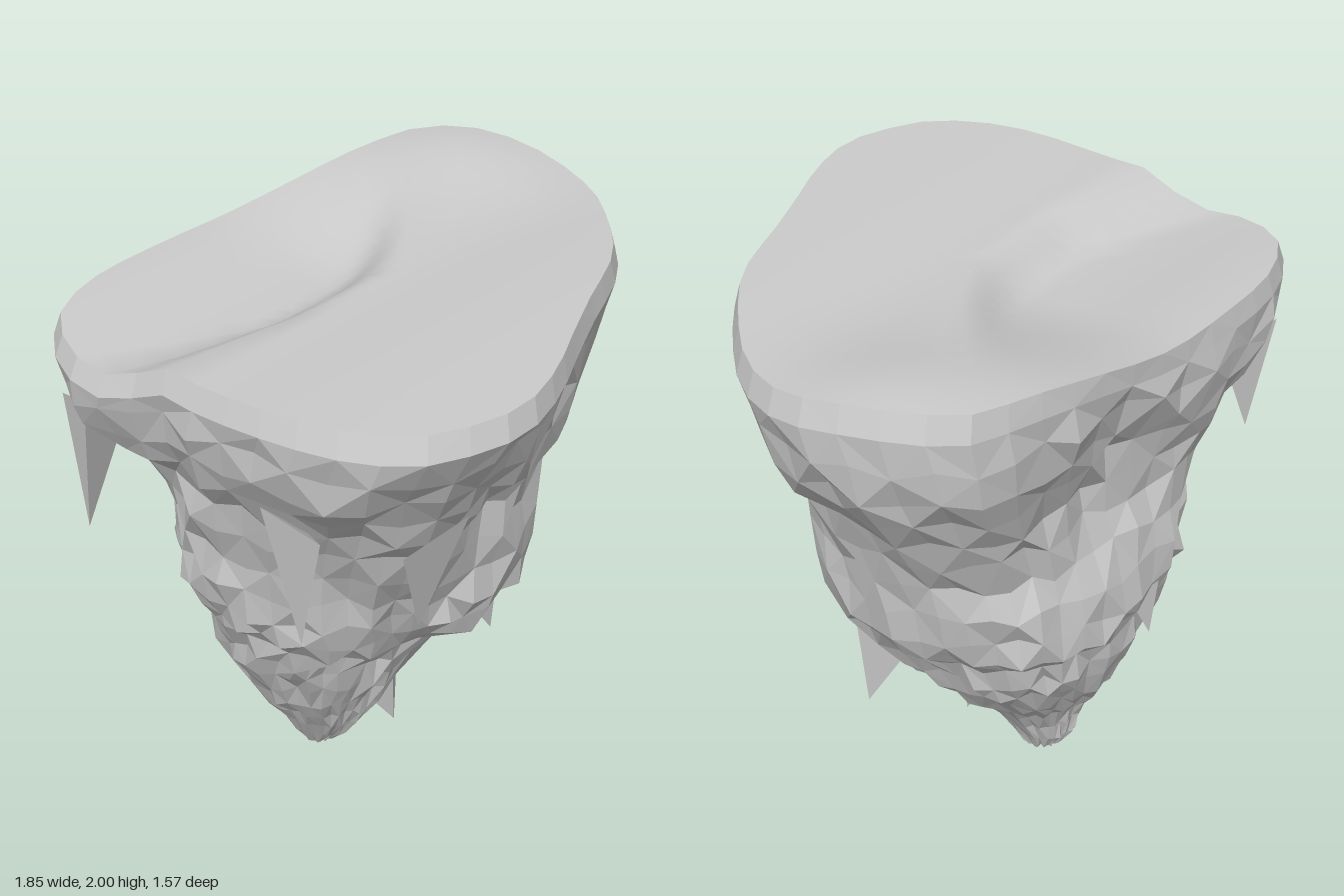
import * as THREE from 'three';
import { ConvexGeometry } from 'three/addons/geometries/ConvexGeometry.js';

const SEG = 46;
const { smoothstep, lerp, clamp } = THREE.MathUtils;

// Plan outline of the rim, [x, z]
const outline = [
  [0.93, -0.2], [0.91, -0.05], [0.84, 0.1], [0.7, 0.26], [0.5, 0.43], [0.2, 0.56], [0, 0.65],
  [-0.2, 0.74], [-0.4, 0.785], [-0.56, 0.75], [-0.71, 0.67], [-0.82, 0.5], [-0.87, 0.3], [-0.89, 0],
  [-0.89, -0.17], [-0.93, -0.42], [-0.9, -0.55], [-0.81, -0.68], [-0.6, -0.77], [-0.3, -0.79],
  [0, -0.78], [0.3, -0.73], [0.55, -0.68], [0.75, -0.62], [0.87, -0.46],
];

// Bounds of the rock at each height: [y, xMin, xMax, zMin, zMax]
const levels = [
  [1.88, -0.93, 0.93, -0.78, 0.785], [1.78, -0.92, 0.91, -0.79, 0.73], [1.67, -0.89, 0.88, -0.78, 0.68],
  [1.56, -0.83, 0.82, -0.76, 0.62], [1.45, -0.78, 0.74, -0.73, 0.56], [1.33, -0.75, 0.69, -0.71, 0.5],
  [1.2, -0.71, 0.63, -0.71, 0.44], [1.08, -0.69, 0.61, -0.72, 0.41], [0.97, -0.68, 0.59, -0.72, 0.4],
  [0.87, -0.64, 0.55, -0.7, 0.39], [0.79, -0.59, 0.47, -0.66, 0.33], [0.7, -0.56, 0.42, -0.63, 0.2],
  [0.6, -0.53, 0.37, -0.6, 0.12], [0.5, -0.48, 0.28, -0.56, 0.08], [0.4, -0.43, 0.16, -0.51, 0.02],
  [0.3, -0.37, 0.08, -0.45, -0.03], [0.2, -0.31, 0.01, -0.41, -0.08], [0.11, -0.26, -0.04, -0.39, -0.14],
  [0.04, -0.22, -0.08, -0.35, -0.2],
];

// Inward (-) and outward (+) swells on the wall: [x, y, z, radius, amount]
const swells = [
  [0.15, 1.48, -0.72, 0.28, -0.1], [-0.45, 1.25, 0.5, 0.2, 0.05], [0.0, 0.95, 0.39, 0.2, 0.02],
  [-0.3, 0.85, 0.3, 0.2, -0.06], [0.3, 1.25, 0.4, 0.18, -0.06], [0.3, 1.5, 0.5, 0.15, 0.04],
  [-0.2, 1.35, 0.45, 0.14, -0.06], [0.38, 0.65, 0.05, 0.15, 0.04], [-0.6, 1.3, -0.5, 0.2, -0.05],
];

function hash(i, j) {
  const s = Math.sin(i * 127.1 + j * 311.7) * 43758.5453;
  return (s - Math.floor(s)) * 2 - 1;
}

// Height of the grassy top, with a hollow stepping down at the back
function topY(x, z) {
  const edge = -0.03 - 0.8 * Math.max(0, x + 0.2) ** 2 - 0.2 * Math.max(0, -x - 0.4);
  const step = smoothstep(edge - z, 0, 0.18) * (1 - smoothstep(x, -0.1, 0.55));
  const recover = 1 - 0.35 * smoothstep(-z, 0.3, 0.75);
  const hump = 0.05 * Math.exp(-(((x - 0.75) / 0.3) ** 2) - ((z + 0.4) / 0.3) ** 2);
  return 1.955 - 0.02 * Math.exp(-((z / 0.25) ** 2)) + hump - 0.11 * step * recover;
}

const curve = new THREE.CatmullRomCurve3(outline.map(([x, z]) => new THREE.Vector3(x, 0, z)), true);
const rim = curve.getSpacedPoints(SEG).slice(0, SEG);

// Joins equal rings of points and closes the last ring to a point
function skin(rings, tip) {
  const pos = [], index = [];
  rings.forEach((ring) => ring.forEach((p) => pos.push(p.x, p.y, p.z)));
  pos.push(tip.x, tip.y, tip.z);
  const last = rings.length * SEG;
  for (let r = 0; r < rings.length; r++) {
    for (let i = 0; i < SEG; i++) {
      const a = r * SEG + i, b = r * SEG + ((i + 1) % SEG);
      if (r === rings.length - 1) index.push(a, b, last);
      else if ((i + r) % 2) index.push(a, b, a + SEG, b, b + SEG, a + SEG);
      else index.push(a, b, b + SEG, a, b + SEG, a + SEG);
    }
  }
  return { pos, index };
}

function toGeometry({ pos, index }, flip) {
  const g = new THREE.BufferGeometry();
  g.setAttribute('position', new THREE.Float32BufferAttribute(pos, 3));
  if (flip) for (let i = 0; i < index.length; i += 3) [index[i], index[i + 1]] = [index[i + 1], index[i]];
  g.setIndex(index);
  g.computeVertexNormals();
  return g;
}

function wallRing([y, x0, x1, z0, z1], row) {
  const round = smoothstep(1.85 - y, 0, 0.85);
  const cx = (x0 + x1) / 2, cz = (z0 + z1) / 2;
  return rim.map((p, i) => {
    const ux = p.x / 0.93, uz = p.z / 0.787, len = Math.hypot(ux, uz);
    const px = cx + lerp(ux, ux / len, round) * (x1 - x0) / 2;
    const pz = cz + lerp(uz, uz / len, round) * (z1 - z0) / 2;
    const fade = clamp((y - 1.5) / 0.4, 0, 1);
    const py = y + (topY(p.x, p.z) - 1.955) * fade;
    let push = row < 1 ? 0 : hash(i, row) * 0.022 * clamp(y + 0.3, 0.4, 1);
    for (const [sx, sy, sz, r, amount] of swells) {
      const d2 = (px - sx) ** 2 + (py - sy) ** 2 + (pz - sz) ** 2;
      push += amount * Math.exp(-d2 / (r * r));
    }
    const jitter = row < 1 ? 0 : hash(i + 57, row) * 0.025 * clamp(y * 2, 0.2, 1);
    return new THREE.Vector3(px + (ux / len) * push, py + jitter, pz + (uz / len) * push);
  });
}

function topRing(scale) {
  return rim.map((p) => {
    const x = p.x * scale, z = p.z * scale;
    return new THREE.Vector3(x, topY(x, z), z);
  });
}

// Hanging shards: three root corners and a tip
const shards = [
  [[-0.86, 1.65, -0.5], [-0.8, 1.6, -0.68], [-0.68, 1.5, -0.55], [-0.82, 1.15, -0.6]],
  [[-0.83, 1.6, 0.2], [-0.8, 1.55, 0.4], [-0.68, 1.45, 0.22], [-0.76, 1.1, 0.27]],
  [[-0.57, 1.42, 0.5], [-0.4, 1.53, 0.6], [-0.25, 1.2, 0.38], [-0.41, 1.04, 0.42]],
  [[-0.2, 1.1, -0.69], [0.02, 1.0, -0.68], [-0.12, 0.92, -0.6], [-0.1, 0.77, -0.71]],
  [[0.22, 0.6, 0.1], [0.44, 0.85, 0.08], [0.3, 0.72, -0.1], [0.38, 0.38, 0.08]],
  [[-0.06, 0.4, 0.0], [0.03, 0.41, -0.06], [-0.08, 0.25, -0.12], [-0.01, 0.13, -0.04]],
];

export function createModel() {
  const model = new THREE.Group();
  const grey = (opts) => new THREE.MeshStandardMaterial({ color: 0xcccccc, ...opts });
  const add = (name, geometry, material) => {
    const mesh = new THREE.Mesh(geometry, material);
    mesh.name = name;
    model.add(mesh);
  };

  // Faceted rock hanging below the rim
  const lip = topRing(0.97);
  const rings = [lip, ...levels.map(wallRing)];
  const rock = toGeometry(skin(rings, new THREE.Vector3(-0.15, 0, -0.28)), false);
  add('rock', rock, grey({ flatShading: true }));

  // Smooth ground on top
  const scales = Array.from({ length: 18 }, (_, i) => 0.97 * (1 - i / 18));
  const ground = skin(scales.map(topRing), new THREE.Vector3(0, topY(0, 0), 0));
  add('ground', toGeometry(ground, true), grey());

  // Pointed shards on the walls
  shards.forEach((corners) => {
    const g = new ConvexGeometry(corners.map((c) => new THREE.Vector3(...c)));
    add('shard', g, grey({ flatShading: true }));
  });

  // Orient outward whichever way the outline runs
  orient(model, 'rock', (n, p) => n.x * (p.x + 0.1) + n.z * (p.z + 0.15));
  orient(model, 'ground', (n) => n.y);
  return model;
}

// Flips a mesh's faces if its normals mostly point the wrong way
function orient(model, name, measure) {
  const g = model.getObjectByName(name).geometry;
  const n = new THREE.Vector3(), p = new THREE.Vector3();
  let sum = 0;
  for (let i = 0; i < g.attributes.position.count; i++) {
    sum += measure(n.fromBufferAttribute(g.attributes.normal, i), p.fromBufferAttribute(g.attributes.position, i));
  }
  if (sum >= 0) return;
  const a = g.index.array;
  for (let i = 0; i < a.length; i += 3) [a[i], a[i + 1]] = [a[i + 1], a[i]];
  g.computeVertexNormals();
}
